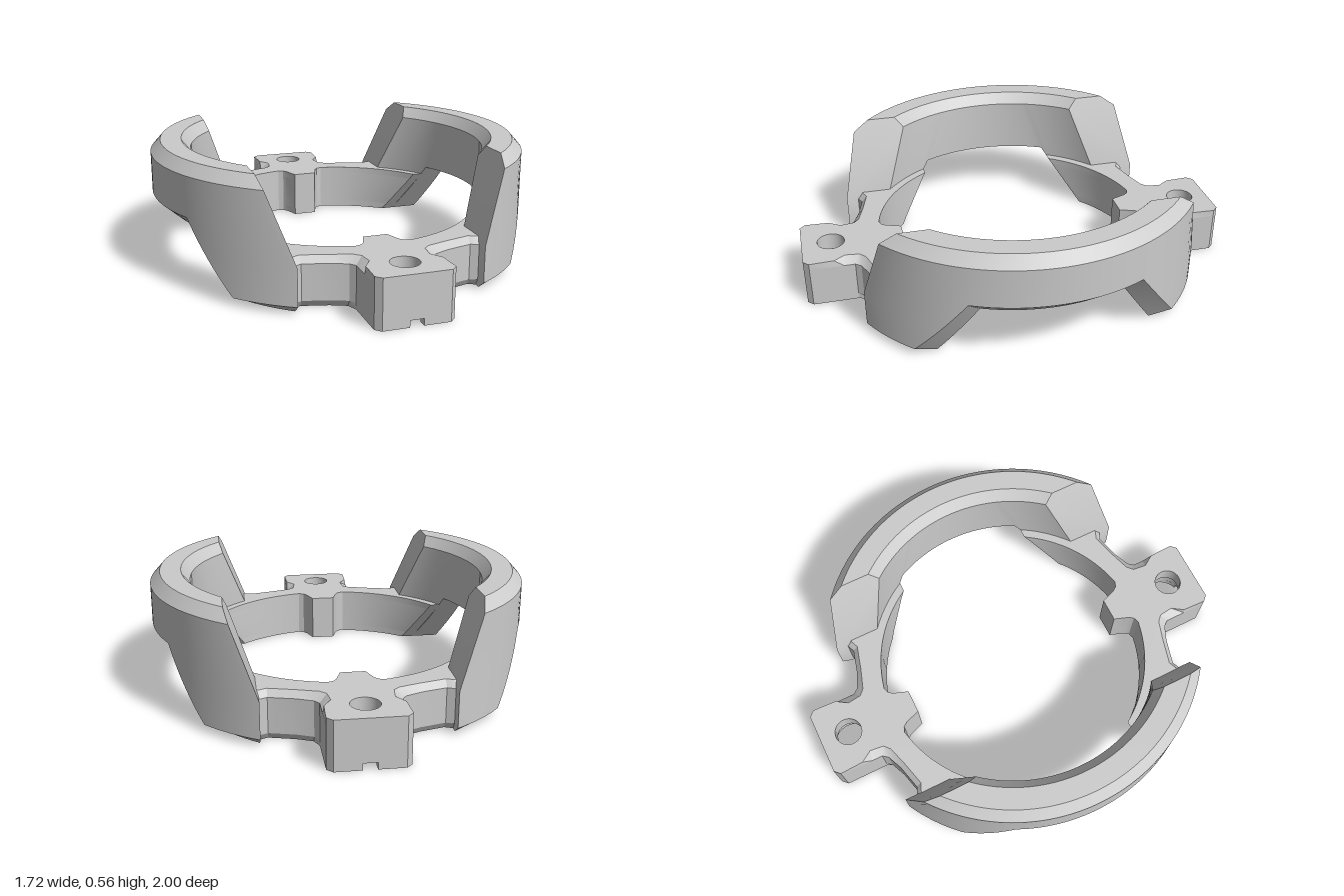
import * as THREE from 'three';
import { toCreasedNormals } from 'three/addons/utils/BufferGeometryUtils.js';

const HOLE_Z = 0.865;
const material = new THREE.MeshStandardMaterial({ color: 0xcccccc });
const thin = new THREE.MeshStandardMaterial({ color: 0xcccccc, side: THREE.DoubleSide });

function makeMesh(points, name) {
  const geo = new THREE.BufferGeometry().setFromPoints(points);
  const mesh = new THREE.Mesh(toCreasedNormals(geo, 0.4), material);
  mesh.name = name;
  return mesh;
}

// Solid between two plan loops (x, z) of equal length, with optional holes
function prism(low, high, y0, y1, holes, name) {
  const tris = [];
  const at = (p, y) => new THREE.Vector3(p.x, y, p.y);
  if (THREE.ShapeUtils.isClockWise(low)) {
    low = [...low].reverse();
    high = [...high].reverse();
  }
  const wall = (a, b) => a.forEach((p, i) => {
    const j = (i + 1) % a.length;
    tris.push(at(p, y0), at(b[j], y1), at(a[j], y0), at(p, y0), at(b[i], y1), at(b[j], y1));
  });
  wall(low, high);
  holes.forEach((h) => wall(h, h));
  [[low, y0, false], [high, y1, true]].forEach(([loop, y, up]) => {
    const all = [...loop, ...holes.flat()];
    for (const [a, b, c] of THREE.ShapeUtils.triangulateShape(loop, holes)) {
      tris.push(at(all[a], y), at(all[up ? c : b], y), at(all[up ? b : c], y));
    }
  });
  return makeMesh(tris, name);
}

function circle(r, n = 32) {
  return Array.from({ length: n }, (_, i) => {
    const a = (-i / n) * Math.PI * 2;
    return new THREE.Vector2(r * Math.cos(a), HOLE_Z + r * Math.sin(a));
  });
}

// Outer edge from the arm, along the neck, around the tab: straight and bevelled
const SIDE = [[0.45, 0.7], [0.41, 0.7], [0.375, 0.685], [0.26, 0.715], [0.19, 0.745],
  [0.17, 0.77], [0.17, 0.82], [0.17, 0.865], [0.17, 0.975], [0.145, 1]];
const TOP = [[0.45, 0.67], [0.41, 0.675], [0.375, 0.66], [0.26, 0.69], [0.165, 0.72],
  [0.138, 0.745], [0.13, 0.81], [0.165, 0.863], [0.17, 0.975], [0.145, 1]];
const FOOT = SIDE.map(([x, z], i) => [x, i < 5 ? z - 0.02 : z]);

// Full plan loop of one base at height y
function baseOutline(edge, y, keyhole) {
  const half = [[0.055, 0.53], [0.08, 0.6], [0.095, 0.62], [0.12, 0.629]];
  const cutZ = 0.48 - y * 0.654;
  const arc = (r, a, b, n) => {
    for (let i = 0; i <= n; i++) {
      const t = a + ((b - a) * i) / n;
      half.push([r * Math.cos(t), r * Math.sin(t)]);
    }
  };
  arc(0.64, 1.36, Math.asin(cutZ / 0.64), 16);
  arc(0.68, Math.asin(cutZ / 0.68), Math.acos(0.45 / 0.68), 6);
  half.push(...edge);
  if (keyhole) {
    // Slot from the tab end into the counterbore
    half.push([0.03, 1]);
    for (let i = 0; i <= 14; i++) {
      const t = 1.266 - (i / 14) * 2.75;
      half.push([0.1 * Math.cos(t), HOLE_Z + 0.1 * Math.sin(t)]);
    }
  }
  const mirrored = half.map(([x, z]) => [-x, z]).reverse();
  return [...half, ...mirrored].map(([x, z]) => new THREE.Vector2(x, z));
}

function createBase() {
  const g = new THREE.Group();
  g.add(prism(baseOutline(FOOT, 0, true), baseOutline(SIDE, 0.03, true), 0, 0.03, [], 'baseFoot'));
  g.add(prism(baseOutline(SIDE, 0.03), baseOutline(SIDE, 0.19), 0.03, 0.19, [circle(0.1)], 'baseBody'));
  g.add(prism(baseOutline(SIDE, 0.19), baseOutline(TOP, 0.22), 0.19, 0.22, [circle(0.063)], 'baseTop'));
  // Tapered seat inside the screw hole
  const seat = new THREE.Mesh(new THREE.LatheGeometry(
    [new THREE.Vector2(0.1, 0.08), new THREE.Vector2(0.063, 0.14), new THREE.Vector2(0.063, 0.2)], 32), thin);
  seat.geometry = toCreasedNormals(seat.geometry, 0.4);
  seat.position.z = HOLE_Z;
  seat.name = 'screwSeat';
  g.add(seat);
  return g;
}

// Raised arch: section lines swept in angle, each with its own bends and end
function createArm() {
  const inner = { z: [0.31, 0.48], y: [0.26, 0] };
  const outer = { z: [0.37, 0.58], y: [0.33, 0.035] };
  const flat = (r, y) => ({ r, y: [y, y] });
  const lines = [
    { r: 0.68, ...inner },
    { r: 0.78, rEnd: 0.82, ...inner },
    { r: 0.86, ...outer },
    { r: 0.86, ...outer, floor: 0.2 },
    flat(0.86, 0.51), flat(0.815, 0.56), flat(0.72, 0.56), flat(0.68, 0.51),
    { r: 0.68, ...inner, floor: 0.2 },
  ];
  const counts = [12, 10, 8];
  const rows = lines.map(({ r, rEnd = r, y, z, floor = 0 }) => {
    const endY = Math.max(y[1], floor);
    const end = Math.acos((0.41 + Math.max(0, endY - 0.2) * 0.361) / rEnd);
    const bends = z ? [0, Math.asin(z[0] / r), Math.asin(z[1] / r), end] : [0, end * 0.45, end * 0.75, end];
    const half = [];
    counts.forEach((n, s) => {
      for (let i = s ? 1 : 0; i <= n; i++) {
        const t = THREE.MathUtils.lerp(bends[s], bends[s + 1], i / n);
        const rad = s === 2 ? THREE.MathUtils.lerp(r, rEnd, i / n) : r;
        const k = z ? THREE.MathUtils.clamp((r * Math.sin(t) - z[0]) / (z[1] - z[0]), 0, 1) : 0;
        const h = Math.max(floor, THREE.MathUtils.lerp(y[0], y[1], s === 2 ? 1 : k));
        half.push(new THREE.Vector3(rad * Math.cos(t), h, rad * Math.sin(t)));
      }
    });
    const back = half.slice(1).reverse().map((p) => new THREE.Vector3(p.x, p.y, -p.z));
    return [...back, ...half];
  });
  const tris = [];
  const last = rows[0].length - 1;
  rows.forEach((a, i) => {
    const b = rows[(i + 1) % rows.length];
    for (let j = 0; j < last; j++) {
      tris.push(a[j], b[j], a[j + 1], b[j], b[j + 1], a[j + 1]);
    }
  });
  // Sloped upper and upright lower end faces
  [[3, 4, 5, 6, 7, 8], [0, 1, 2, 3, 8]].forEach((f) => {
    for (let i = 1; i < f.length - 1; i++) {
      const [a, b, c] = [rows[f[0]], rows[f[i]], rows[f[i + 1]]];
      tris.push(a[last], b[last], c[last], a[0], c[0], b[0]);
    }
  });
  return makeMesh(tris, 'arch');
}

export function createModel() {
  const model = new THREE.Group();
  model.name = 'clampRing';
  [['front', 'left'], ['back', 'right']].forEach(([end, side], i) => {
    const base = createBase();
    base.name = end + 'Base';
    const arm = createArm();
    arm.name = side + 'Arch';
    base.rotation.y = arm.rotation.y = i * Math.PI;
    model.add(base, arm);
  });
  return model;
}
